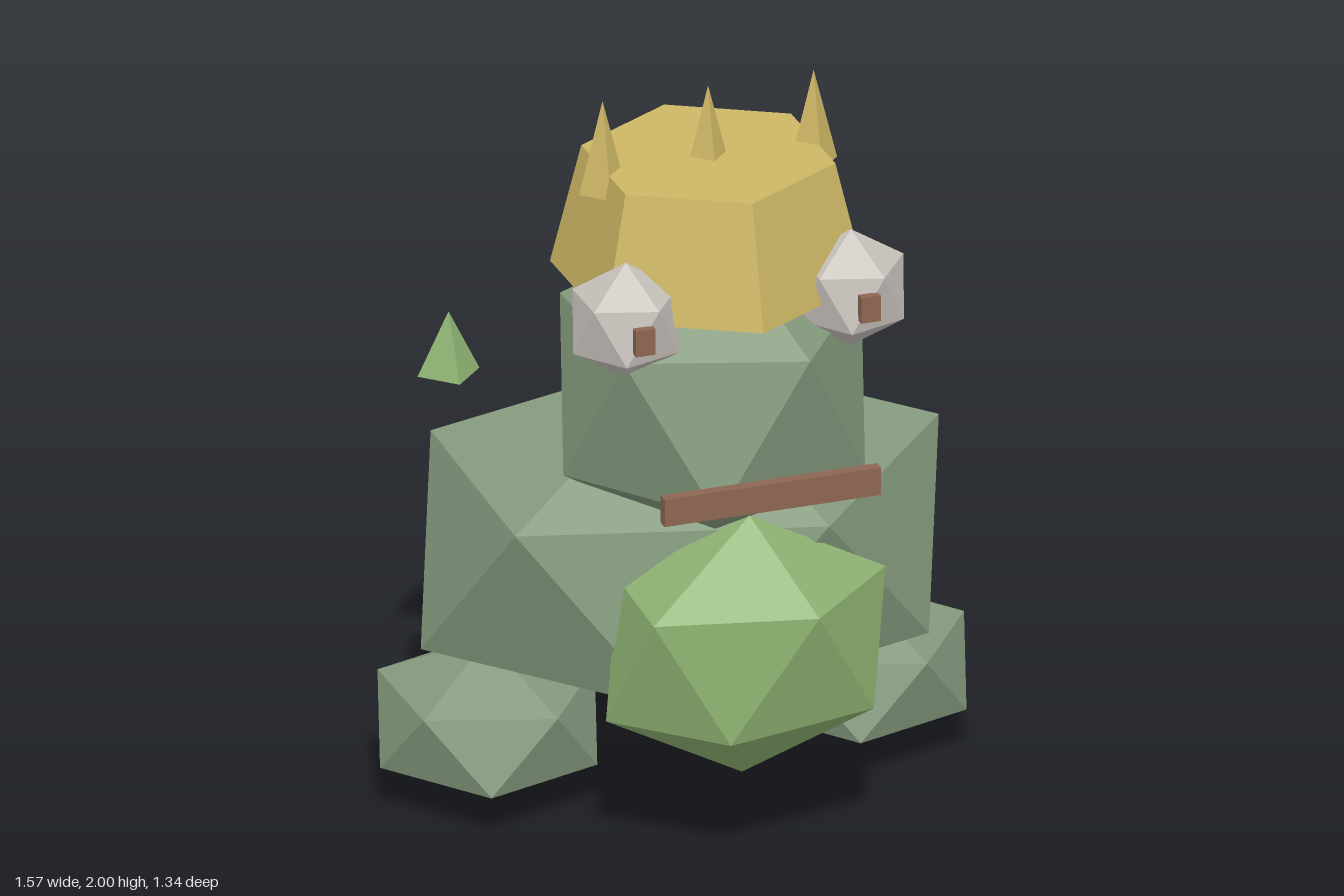
import * as THREE from 'three';
import { ConvexGeometry } from 'three/addons/geometries/ConvexGeometry.js';

const material = (name, color) => {
  const m = new THREE.MeshStandardMaterial({ color, flatShading: true });
  m.name = name;
  return m;
};

// Icosahedron standing on a pole, upper ring pointing to +x, lower ring to -x
function pebble(rx, ry, rz) {
  const points = [new THREE.Vector3(0, ry, 0), new THREE.Vector3(0, -ry, 0)];
  const h = 1 / Math.sqrt(5), r = 2 * h;
  for (let i = 0; i < 5; i++) {
    const a = (i * Math.PI * 2) / 5;
    const x = Math.cos(a) * r * rx, z = Math.sin(a) * r * rz;
    points.push(new THREE.Vector3(x, h * ry, z), new THREE.Vector3(-x, -h * ry, z));
  }
  return new ConvexGeometry(points);
}

export function createModel() {
  const model = new THREE.Group();
  model.name = 'crownedFrog';

  const skin = material('skin green', 0x849a7d);
  const light = material('light green', 0x8db171);
  const gold = material('gold', 0xcdb664);
  const white = material('eye grey', 0xc8c2bc);
  const brown = material('brown', 0x8d6653);

  const add = (name, geometry, mat, x, y, z, tilt = 0) => {
    const mesh = new THREE.Mesh(geometry, mat);
    mesh.name = name;
    mesh.position.set(x, y, z);
    mesh.rotation.x = tilt;
    model.add(mesh);
  };

  // Body, belly and head
  add('body', pebble(0.772, 0.5, 0.593), skin, 0, 0.68, -0.04, 0.05);
  add('belly', pebble(0.414, 0.366, 0.255), light, 0, 0.575, 0.445, 0.075);
  add('head', pebble(0.447, 0.44, 0.447), skin, 0, 1.195, 0.2);

  // Feet, eyes and pupils, one per side
  for (const [side, s] of [['left', 1], ['right', -1]]) {
    add(side + 'Foot', pebble(0.322, 0.215, 0.322), skin, 0.495 * s, 0.22, -0.097);
    add(side + 'Eye', pebble(0.157, 0.16, 0.152), white, 0.302 * s, 1.49, 0.39);
    add(side + 'Pupil', new THREE.BoxGeometry(0.052, 0.07, 0.024), brown, 0.302 * s, 1.49, 0.527);
  }

  // Mouth bar
  add('mouth', new THREE.BoxGeometry(0.58, 0.075, 0.03), brown, 0, 1.063, 0.63);

  // Crown with three spikes
  add('crown', new THREE.CylinderGeometry(0.325, 0.405, 0.325, 6), gold, 0, 1.648, 0.17);
  for (const x of [-0.283, 0, 0.283]) {
    add('crownSpike', new THREE.ConeGeometry(0.063, 0.25, 4), gold, x, 1.875, 0.168);
  }

  // Small spines over the back
  for (const [x, y, z] of [[-0.487, 1.125, -0.405], [0.052, 1.135, -0.586], [0.375, 1.125, -0.458]]) {
    add('backSpine', new THREE.ConeGeometry(0.083, 0.168, 4), light, x, y, z);
  }

  return model;
}
